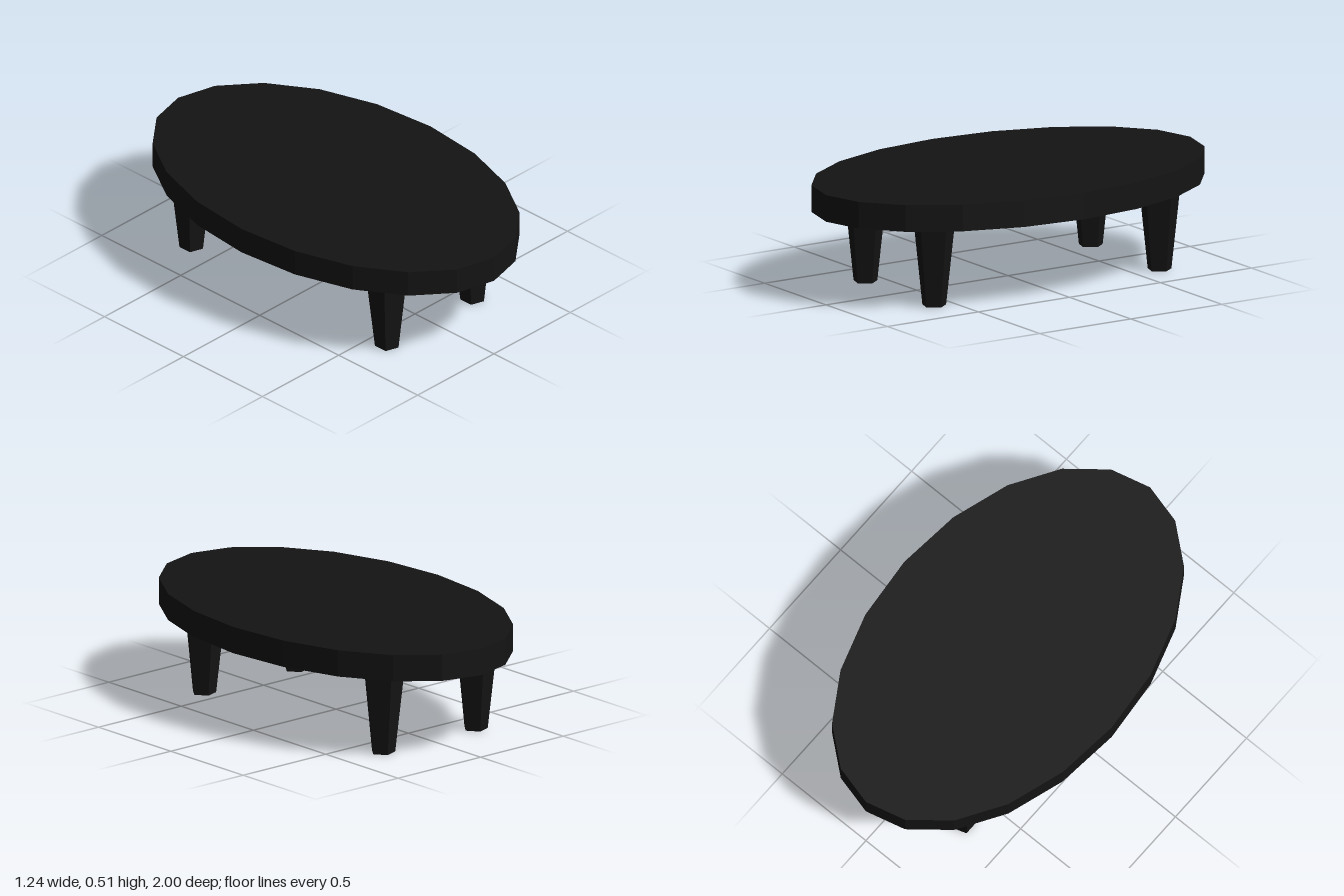
import * as THREE from 'three';

export function createModel() {
  const model = new THREE.Group();
  model.name = 'ovalTable';
  const material = new THREE.MeshStandardMaterial({ color: 0x141414, flatShading: true });

  // Oval tabletop: a 20-sided disc squeezed across its width
  const topThickness = 0.125;
  const topBase = 0.39;
  const topGeometry = new THREE.CylinderGeometry(1, 1, topThickness, 20);
  topGeometry.scale(0.62, 1, 1);
  const tabletop = new THREE.Mesh(topGeometry, material);
  tabletop.name = 'tabletop';
  tabletop.position.y = topBase + topThickness / 2;
  model.add(tabletop);

  // Four tapered five-sided legs, each with one edge towards +x
  const legGeometry = new THREE.CylinderGeometry(0.1, 0.057, topBase, 5, 1, false, Math.PI / 2);
  for (const [end, z] of [['front', 0.595], ['back', -0.643]]) {
    for (const [side, x] of [['Left', 0.28], ['Right', -0.28]]) {
      const leg = new THREE.Mesh(legGeometry, material);
      leg.name = `${end}${side}Leg`;
      leg.position.set(x, topBase / 2, z);
      model.add(leg);
    }
  }
  return model;
}
